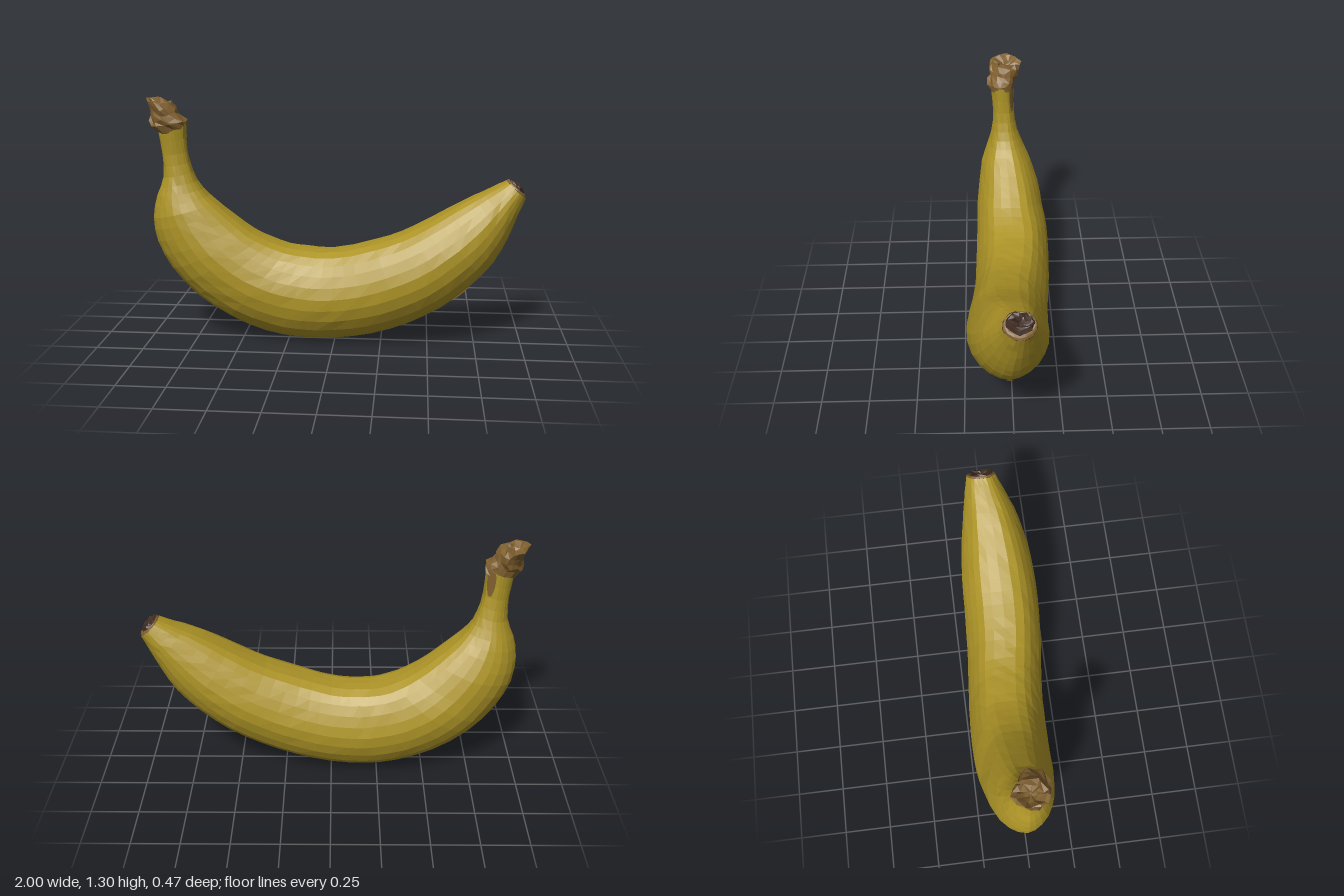
import * as THREE from 'three';

const V = (x, y, z) => new THREE.Vector3(x, y, z);

// Five-ridged cross-section: u runs from the outer to the inner curve, w runs sideways
const half = [[-0.9, 0.36], [-0.64, 0.72], [-0.27, 0.95], [0.1, 1], [0.45, 0.87], [0.76, 0.68], [0.96, 0.42]];
const profile = new THREE.CatmullRomCurve3([
  V(-1, 0, 0),
  ...half.map(([u, w]) => V(u, w, 0)),
  V(1, 0, 0),
  ...half.slice().reverse().map(([u, w]) => V(u, -w, 0)),
], true);

// Stations: outer x, y, inner x, y, centre z, half width
const bodyStations = [
  [-0.93, 1.12, -0.785, 1.17, 0.015, 0.066],
  [-0.915, 1.0, -0.782, 1.02, 0.01, 0.06],
  [-0.917, 0.88, -0.757, 0.91, 0.005, 0.075],
  [-0.955, 0.78, -0.71, 0.82, 0, 0.108],
  [-0.98, 0.66, -0.64, 0.75, -0.005, 0.145],
  [-0.965, 0.53, -0.54, 0.665, -0.015, 0.172],
  [-0.89, 0.38, -0.44, 0.59, -0.02, 0.192],
  [-0.76, 0.23, -0.34, 0.54, -0.03, 0.204],
  [-0.58, 0.11, -0.25, 0.51, -0.03, 0.208],
  [-0.38, 0.03, -0.16, 0.5, -0.025, 0.208],
  [-0.2, 0, -0.09, 0.495, -0.017, 0.208],
  [0, 0.005, 0, 0.5, -0.005, 0.209],
  [0.2, 0.04, 0.1, 0.52, 0.01, 0.211],
  [0.4, 0.11, 0.22, 0.555, 0.02, 0.212],
  [0.57, 0.2, 0.35, 0.6, 0.022, 0.21],
  [0.72, 0.32, 0.48, 0.665, 0.02, 0.197],
  [0.84, 0.45, 0.61, 0.74, 0.015, 0.172],
  [0.91, 0.58, 0.73, 0.805, 0.005, 0.14],
  [0.96, 0.7, 0.82, 0.845, -0.008, 0.108],
  [0.998, 0.795, 0.9, 0.885, -0.018, 0.08],
];
const knobStations = [
  [-0.92, 1.25, -0.92, 1.25, 0, 0.002],
  [-0.96, 1.28, -0.89, 1.27, 0, 0.04],
  [-0.99, 1.3, -0.86, 1.275, -0.006, 0.08],
  [-0.975, 1.24, -0.832, 1.25, 0.002, 0.08],
  [-0.962, 1.19, -0.825, 1.215, 0.012, 0.075],
  [-0.972, 1.155, -0.782, 1.19, 0.022, 0.078],
  [-0.932, 1.11, -0.782, 1.155, 0.016, 0.069],
];
const collarStations = [
  [0.998, 0.795, 0.9, 0.885, -0.018, 0.08],
  [0.993, 0.815, 0.908, 0.89, -0.018, 0.074],
  [0.98, 0.825, 0.915, 0.885, -0.018, 0.062],
];
const tipStations = [
  [0.986, 0.818, 0.908, 0.886, -0.018, 0.069],
  [0.985, 0.84, 0.918, 0.893, -0.018, 0.062],
  [0.965, 0.845, 0.93, 0.875, -0.018, 0.035],
  [0.935, 0.845, 0.935, 0.845, -0.018, 0.002],
];

// Returns a function giving the surface point at length t and turn a; k scales it about its centre
function surface(stations) {
  const outer = new THREE.CatmullRomCurve3(stations.map(s => V(s[0], s[1], s[4])));
  const inner = new THREE.CatmullRomCurve3(stations.map(s => V(s[2], s[3], s[5])));
  return (t, a, k = 1) => {
    const o = outer.getPoint(t), i = inner.getPoint(t), p = profile.getPoint(((a % 1) + 1) % 1);
    const f = (1 + p.x * k) / 2;
    return V(o.x + (i.x - o.x) * f, o.y + (i.y - o.y) * f, o.z + p.y * k * i.z);
  };
}

const noise = n => { const s = Math.sin(n * 12.9898) * 43758.5453; return (s - Math.floor(s)) * 2 - 1; };

// Faceted skin over a surface, with a small seeded roughness
function skin(at, rows, sides, rough) {
  const pos = [], index = [];
  for (let r = 0; r <= rows; r++) {
    for (let s = 0; s < sides; s++) {
      const p = at(r / rows, s / sides), n = (r * sides + s) * 3 + 1;
      pos.push(p.x + rough * noise(n), p.y + rough * noise(n + 1), p.z + rough * noise(n + 2));
      if (r === rows) continue;
      const a = r * sides + s, b = r * sides + (s + 1) % sides;
      index.push(a, a + sides, b + sides, a, b + sides, b);
    }
  }
  const g = new THREE.BufferGeometry();
  g.setAttribute('position', new THREE.Float32BufferAttribute(pos, 3));
  g.setIndex(index);
  const flat = g.toNonIndexed();
  flat.computeVertexNormals();
  return flat;
}

// Oval blemish laid just above a surface
function blemish(at, t, a, rt, ra, k) {
  const g = new THREE.CircleGeometry(1, 14), p = g.attributes.position;
  for (let i = 0; i < p.count; i++) {
    const q = at(Math.max(0, t + p.getX(i) * rt), a + p.getY(i) * ra, k);
    p.setXYZ(i, q.x, q.y, q.z);
  }
  g.computeVertexNormals();
  return g;
}

export function createModel() {
  const paint = (name, color, side = THREE.FrontSide) => {
    const m = new THREE.MeshStandardMaterial({ color, side });
    m.name = name;
    return m;
  };
  const yellow = paint('yellow peel', 0xad9427);
  const brown = paint('dry brown', 0x80602f, THREE.DoubleSide);
  const dark = paint('dark tip', 0x3f2c22, THREE.DoubleSide);

  const group = new THREE.Group();
  group.name = 'banana';
  const add = (name, geometry, material) => {
    const mesh = new THREE.Mesh(geometry, material);
    mesh.name = name;
    group.add(mesh);
  };

  // Peel with stem neck
  const body = surface(bodyStations);
  add('peel', skin(body, 38, 24, 0.0015), yellow);

  // Torn stem end
  add('stemEnd', skin(surface(knobStations), 8, 14, 0.011), brown);

  // Blossom end
  add('tipCollar', skin(surface(collarStations), 3, 16, 0.001), brown);
  add('tip', skin(surface(tipStations), 5, 14, 0.005), dark);

  // Blemishes
  add('peelSpot', blemish(body, 0.771, 0, 0.016, 0.018, 1.015), brown);
  add('stemStain', blemish(body, 0.015, 0.65, 0.035, 0.06, 1.06), brown);
  return group;
}
